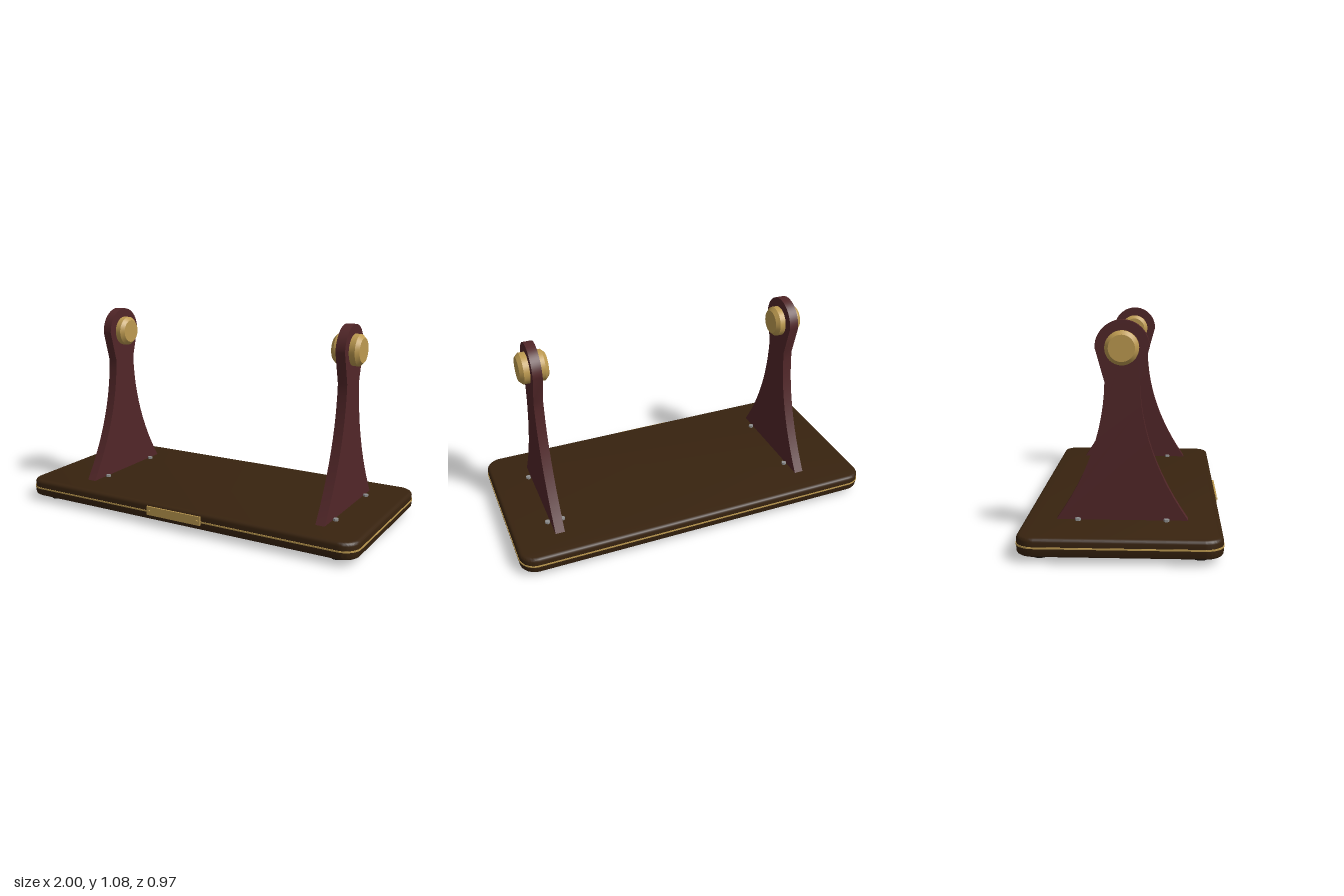
import * as THREE from 'three';
import { toCreasedNormals } from 'three/addons/utils/BufferGeometryUtils.js';

const CZ = -0.004; // depth centre of the base and stands

function material(name, color) {
  const m = new THREE.MeshStandardMaterial({ color });
  m.name = name;
  return m;
}

function roundedRect(halfW, halfH, r) {
  const s = new THREE.Shape();
  s.absarc(halfW - r, halfH - r, r, 0, Math.PI / 2);
  s.absarc(-halfW + r, halfH - r, r, Math.PI / 2, Math.PI);
  s.absarc(-halfW + r, -halfH + r, r, Math.PI, Math.PI * 1.5);
  s.absarc(halfW - r, -halfH + r, r, Math.PI * 1.5, Math.PI * 2);
  s.closePath();
  return s;
}

// Turned part from [radius, height] pairs, listed bottom to top
function turned(profile, segments) {
  const pts = profile.map(([r, y]) => new THREE.Vector2(r, y));
  return toCreasedNormals(new THREE.LatheGeometry(pts, segments), 0.5);
}

// Flared upright with a rounded head
function uprightGeometry(thickness) {
  const s = new THREE.Shape();
  s.moveTo(-0.318, 0.12);
  s.lineTo(0.318, 0.12);
  s.quadraticCurveTo(0.09, 0.45, 0.083, 0.79);
  s.lineTo(0.129, 0.953);
  s.absarc(0, 0.953, 0.129, 0, Math.PI, false);
  s.lineTo(-0.083, 0.79);
  s.quadraticCurveTo(-0.09, 0.45, -0.318, 0.12);
  const g = new THREE.ExtrudeGeometry(s, { depth: thickness, bevelEnabled: false, curveSegments: 12 });
  g.translate(0, 0, -thickness / 2);
  g.rotateY(Math.PI / 2);
  return toCreasedNormals(g, 0.5);
}

export function createModel() {
  const model = new THREE.Group();
  model.name = 'displayStand';

  const walnut = material('dark walnut', 0x38230f);
  const mahogany = material('red mahogany', 0x512628);
  const brass = material('brass', 0xbd9a50);
  const steel = material('steel', 0x8e8e8e);
  const rubber = material('black rubber', 0x17130f);

  function add(parent, name, geometry, mat, x = 0, y = 0, z = 0) {
    const mesh = new THREE.Mesh(geometry, mat);
    mesh.name = name;
    mesh.position.set(x, y, z);
    parent.add(mesh);
    return mesh;
  }

  // Base board with softened edges
  const bevel = 0.018;
  const baseGeo = new THREE.ExtrudeGeometry(roundedRect(0.997 - bevel, 0.475 - bevel, 0.07), {
    depth: 0.09 - 2 * bevel, bevelSize: bevel, bevelThickness: bevel, bevelSegments: 4, curveSegments: 10,
  });
  baseGeo.rotateX(-Math.PI / 2);
  add(model, 'base', toCreasedNormals(baseGeo, 0.6), walnut, 0, 0.03 + bevel, CZ);

  // Thin inlay line running round the edge of the base
  const inlayGeo = new THREE.ExtrudeGeometry(roundedRect(1, 0.478, 0.09), {
    depth: 0.008, bevelEnabled: false, curveSegments: 10,
  });
  inlayGeo.rotateX(-Math.PI / 2);
  add(model, 'edgeInlay', toCreasedNormals(inlayGeo, 0.6), brass, 0, 0.072, CZ);

  // Feet with rubber pads
  const footGeo = turned([[0, 0.008], [0.034, 0.008], [0.034, 0.012], [0.046, 0.024], [0.046, 0.031], [0, 0.031]], 24);
  const padGeo = new THREE.CylinderGeometry(0.035, 0.035, 0.009, 24);
  for (const x of [-0.877, 0.877]) {
    for (const z of [-0.371, 0.371]) {
      add(model, 'foot', footGeo, brass, x, 0, CZ + z);
      add(model, 'footPad', padGeo, rubber, x, 0.0045, CZ + z);
    }
  }

  // Blank plate and its two screws on the front edge
  add(model, 'frontPlate', new THREE.BoxGeometry(0.33, 0.048, 0.009), brass, -0.002, 0.082, 0.4755);
  const screwGeo = new THREE.CylinderGeometry(0.006, 0.006, 0.006, 12);
  screwGeo.rotateX(Math.PI / 2);
  for (const x of [-0.15, 0.146]) add(model, 'plateScrew', screwGeo, brass, x, 0.082, 0.482);

  // Two uprights, each with a bearing and four hex bolts
  const uprightGeo = uprightGeometry(0.05);
  const bearingGeo = turned([
    [0, -0.075], [0.063, -0.075], [0.081, -0.056], [0.081, 0.056], [0.063, 0.075], [0, 0.075],
  ], 32);
  bearingGeo.rotateZ(Math.PI / 2);
  const boltGeo = toCreasedNormals(new THREE.CylinderGeometry(0.014, 0.014, 0.013, 6), 0.3);
  for (const x of [-0.667, 0.757]) {
    const stand = new THREE.Group();
    stand.name = 'stand';
    stand.position.set(x, 0, CZ);
    model.add(stand);
    add(stand, 'upright', uprightGeo, mahogany);
    add(stand, 'bearing', bearingGeo, brass, 0, 0.953, 0);
    for (const bx of [-0.041, 0.041]) {
      for (const bz of [-0.213, 0.213]) add(stand, 'bolt', boltGeo, steel, bx, 0.1255, bz);
    }
  }

  return model;
}
